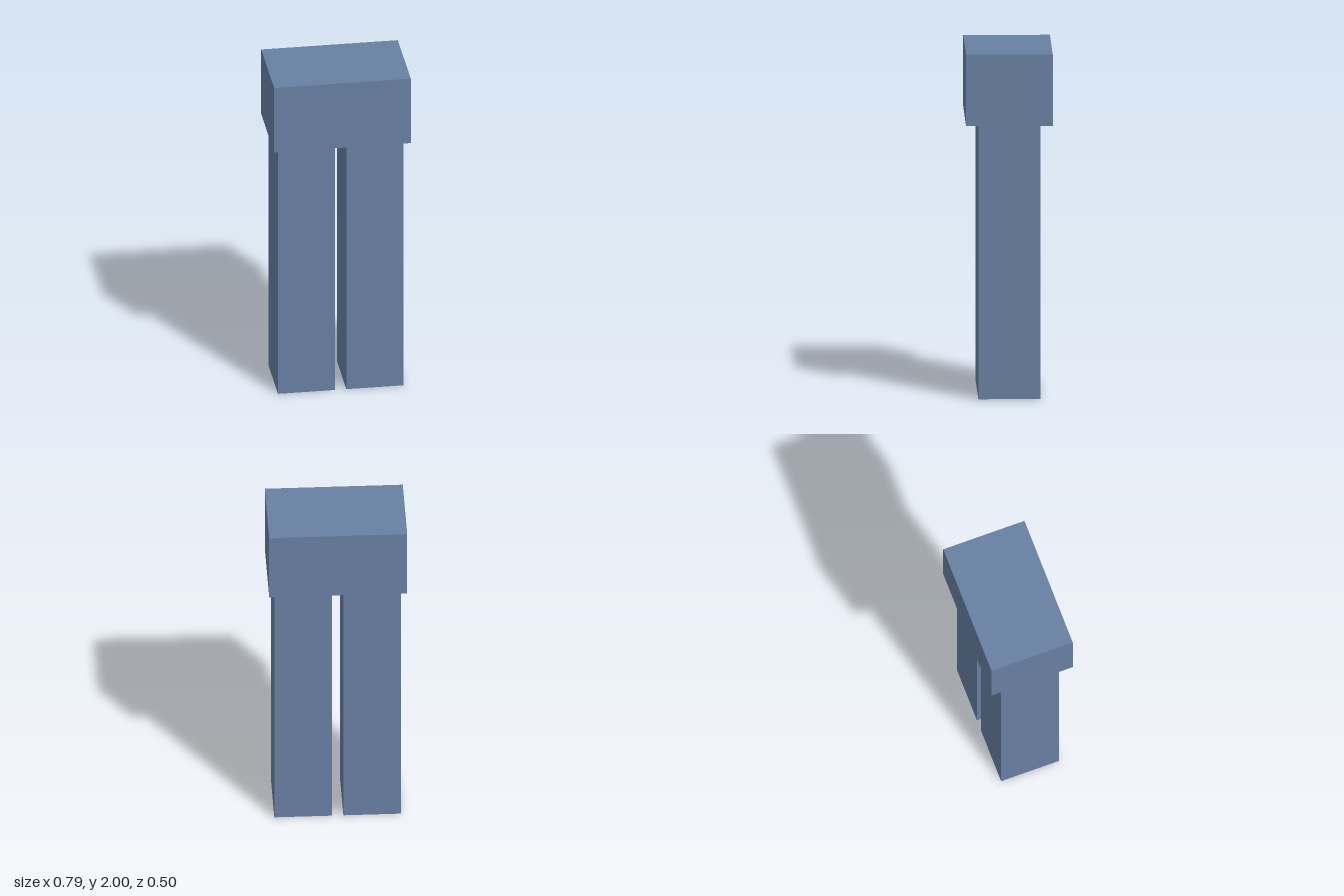
import * as THREE from 'three';

export function createModel() {
  const model = new THREE.Group();
  const blue = new THREE.MeshStandardMaterial({ color: 0x6880a3 });
  blue.name = 'slate blue';

  // Box standing on a given base height
  const addBox = (name, width, height, depth, x, base) => {
    const mesh = new THREE.Mesh(new THREE.BoxGeometry(width, height, depth), blue);
    mesh.name = name;
    mesh.position.set(x, base + height / 2, 0);
    model.add(mesh);
  };

  const legHeight = 1.587;

  // Wide block across the top
  addBox('topBlock', 0.792, 2 - legHeight, 0.497, 0, legHeight);

  // Mirrored pair of square legs
  for (const [name, side] of [['leftLeg', 1], ['rightLeg', -1]]) {
    addBox(name, 0.33, legHeight, 0.355, side * 0.198, 0);
  }

  return model;
}
